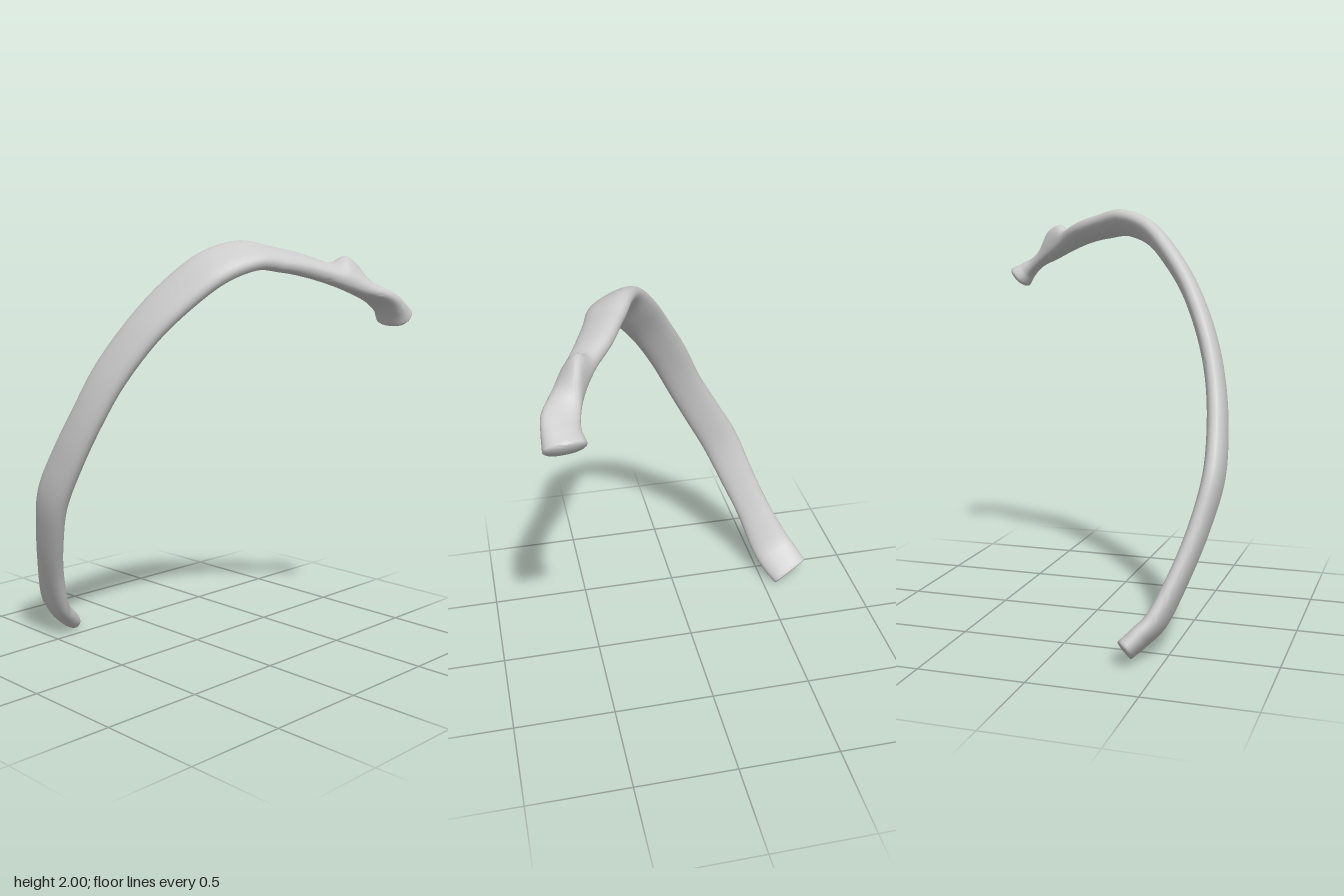
import * as THREE from 'three';
import { toCreasedNormals } from 'three/addons/utils/BufferGeometryUtils.js';

// Stations along the bone: x, y, z, half width, half thickness, upward tilt of the width direction
const STATIONS = [
  [-0.34, 0.07, -0.655, 0.108, 0.047, 0.25],
  [-0.395, 0.12, -0.615, 0.112, 0.046, 0.35],
  [-0.465, 0.2, -0.565, 0.108, 0.044, 0.43],
  [-0.55, 0.4, -0.48, 0.092, 0.043, 0.45],
  [-0.613, 0.6, -0.395, 0.094, 0.044, 0.47],
  [-0.652, 0.8, -0.312, 0.1, 0.047, 0.47],
  [-0.643, 1.0, -0.205, 0.097, 0.046, 0.47],
  [-0.608, 1.2, -0.1, 0.093, 0.045, 0.47],
  [-0.545, 1.4, -0.008, 0.097, 0.045, 0.47],
  [-0.443, 1.6, 0.1, 0.1, 0.045, 0.47],
  [-0.325, 1.755, 0.195, 0.108, 0.046, 0.47],
  [-0.19, 1.88, 0.29, 0.112, 0.046, 0.47],
  [-0.04, 1.935, 0.36, 0.11, 0.047, 0.45],
  [0.1, 1.918, 0.418, 0.095, 0.046, 0.43],
  [0.22, 1.89, 0.475, 0.085, 0.046, 0.4],
  [0.34, 1.843, 0.555, 0.068, 0.045, 0.35],
  [0.46, 1.785, 0.625, 0.068, 0.042, 0.15],
  [0.56, 1.732, 0.672, 0.082, 0.036, -0.15],
  [0.62, 1.69, 0.68, 0.085, 0.046, -0.1],
  [0.664, 1.65, 0.675, 0.094, 0.063, 0],
];
const SIDES = 28;
const RINGS = 150;

const spine = new THREE.CatmullRomCurve3(STATIONS.map(s => new THREE.Vector3(s[0], s[1], s[2])), false, 'catmullrom', 0.5);
const section = new THREE.CatmullRomCurve3(STATIONS.map(s => new THREE.Vector3(s[3], s[4], s[5])), false, 'catmullrom', 0.5);

// Position along the spine, scale of the ring and push along the tangent
function ringList() {
  const rings = [
    { t: 0, scale: 0.001, push: -0.008 },
    { t: 0, scale: 0.5, push: -0.008 },
    { t: 0, scale: 0.9, push: -0.007 },
    { t: 0, scale: 0.97, push: -0.004 },
  ];
  for (let i = 0; i <= RINGS; i++) rings.push({ t: i / RINGS, scale: 1, push: 0 });
  for (let i = 1; i <= 6; i++) {
    const a = (i / 6) * Math.PI / 2;
    rings.push({ t: 1, scale: Math.max(Math.cos(a), 0.001), push: 0.024 * Math.sin(a) });
  }
  return rings;
}

// Superellipse helper
const soften = (v, power) => Math.sign(v) * Math.abs(v) ** power;

// Raises the tubercle on the upper side, near the neck
const TUBERCLE = new THREE.Vector3(0.435, 1.85, 0.58);
function raiseTubercle(p, upward) {
  const dx = (p.x - TUBERCLE.x) / 0.075;
  const dz = (p.z - TUBERCLE.z) / 0.06;
  p.y += 0.07 * Math.exp(-(dx ** 4) - dz * dz) * THREE.MathUtils.smoothstep(upward, -0.2, 0.8);
}

function boneGeometry() {
  const positions = [];
  const index = [];
  const rings = ringList();
  rings.forEach(({ t, scale, push }, i) => {
    const center = spine.getPoint(t);
    const size = section.getPoint(t);
    const tangent = spine.getTangent(t);
    const across = new THREE.Vector3(0, size.z, -1);
    across.addScaledVector(tangent, -across.dot(tangent)).normalize();
    const normal = new THREE.Vector3().crossVectors(tangent, across);
    center.addScaledVector(tangent, push);
    for (let j = 0; j < SIDES; j++) {
      const a = (j / SIDES) * Math.PI * 2;
      const u = soften(Math.cos(a), 0.85) * size.x * scale;
      const v = soften(Math.sin(a), 0.85) * size.y * scale;
      const p = center.clone().addScaledVector(across, u).addScaledVector(normal, v);
      const upward = (across.y * Math.cos(a) + normal.y * Math.sin(a));
      raiseTubercle(p, upward);
      positions.push(p.x, p.y, p.z);
      if (i < rings.length - 1) {
        const k = (j + 1) % SIDES;
        const n = i * SIDES;
        index.push(n + j, n + k, n + SIDES + j, n + k, n + SIDES + k, n + SIDES + j);
      }
    }
  });
  const geometry = new THREE.BufferGeometry();
  geometry.setAttribute('position', new THREE.Float32BufferAttribute(positions, 3));
  geometry.setIndex(index);
  return toCreasedNormals(geometry, 0.9);
}

export function createModel() {
  const group = new THREE.Group();
  group.name = 'rib';
  const bone = new THREE.Mesh(boneGeometry(), new THREE.MeshStandardMaterial({ color: 0xcccccc, roughness: 0.8 }));
  bone.name = 'ribBone';
  group.add(bone);
  return group;
}
